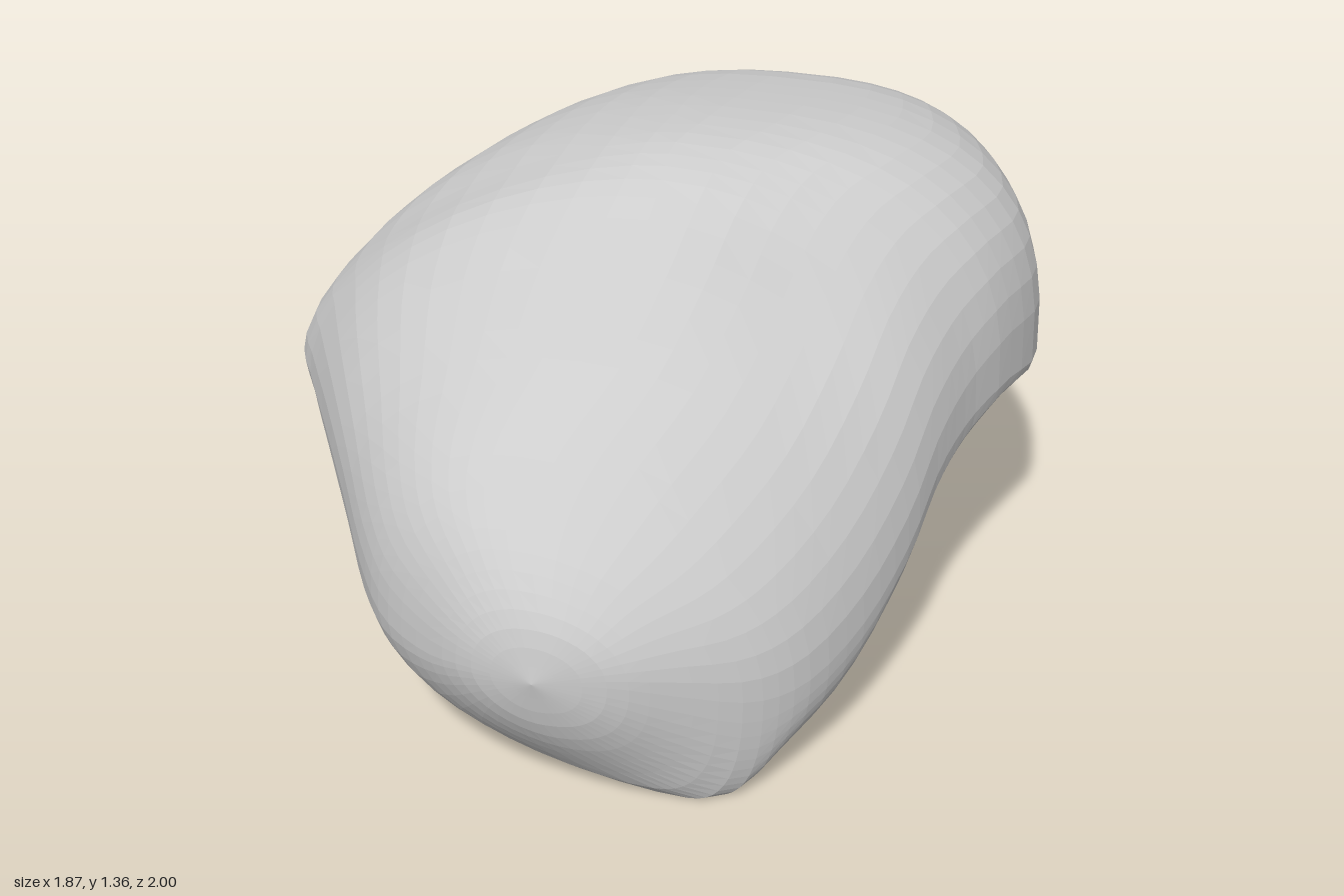
import * as THREE from 'three';

// Cross-sections from back to front: z, then the extreme points of each loop:
// [z, left x, left y, right x, right y, top y, top x, bottom y, bottom x]
const SECTIONS = [
  [-0.965, -0.03, 0.91, 0.38, 0.93, 1.02, 0.2, 0.77, 0.17],
  [-0.9, -0.16, 0.88, 0.51, 0.9, 1.095, 0.2, 0.62, 0.17],
  [-0.75, -0.31, 0.87, 0.68, 0.88, 1.22, 0.2, 0.565, 0.2],
  [-0.55, -0.47, 0.85, 0.83, 0.82, 1.32, 0.2, 0.55, 0.15],
  [-0.32, -0.64, 0.82, 0.935, 0.71, 1.355, 0.15, 0.54, 0.1],
  [-0.1, -0.86, 0.75, 0.88, 0.73, 1.365, 0.1, 0.51, 0.1],
  [0.06, -0.94, 0.69, 0.81, 0.7, 1.35, 0.05, 0.45, 0.1],
  [0.2, -0.87, 0.66, 0.76, 0.64, 1.3, 0.05, 0.38, 0.15],
  [0.35, -0.78, 0.62, 0.715, 0.51, 1.17, 0.02, 0.28, 0.3],
  [0.53, -0.67, 0.55, 0.635, 0.38, 1.0, -0.05, 0.17, 0.45],
  [0.7, -0.565, 0.46, 0.53, 0.31, 0.87, -0.14, 0.08, 0.38],
  [0.8, -0.48, 0.4, 0.43, 0.31, 0.78, -0.16, 0.005, 0.31],
  [0.9, -0.34, 0.39, 0.27, 0.37, 0.675, -0.12, 0.14, 0.08],
  [0.97, -0.21, 0.42, 0.13, 0.42, 0.56, -0.06, 0.28, -0.03],
];
const BACK = new THREE.Vector3(0.24, 0.94, -1);
const FRONT = new THREE.Vector3(-0.05, 0.42, 1);
const AROUND = 48, ALONG = 48;
const { smoothstep } = THREE.MathUtils;

// Fullness of each quarter of a loop: 2 is elliptical, more is boxier
function fullness(z, right, up) {
  const sideLobe = Math.exp(-(((z - 0.04) / 0.25) ** 2));
  const frontness = smoothstep(z, -0.3, 0.35);
  if (right) return up ? 2.75 - 0.75 * frontness : 2 + 0.5 * frontness;
  return up ? 2.2 - 0.65 * sideLobe : 2.6 - 0.35 * sideLobe - 0.8 * smoothstep(z, 0.66, 0.84);
}

// Point on a lopsided rounded loop
function loopPoint([z, lx, ly, rx, ry, ty, tx, by, bx], angle) {
  const c = Math.cos(angle), s = Math.sin(angle);
  const right = c >= 0, up = s >= 0;
  const n = fullness(z, right, up);
  const u = Math.abs(c) ** (2 / n), v = Math.abs(s) ** (2 / n);
  const cx = up ? tx : bx, ey = right ? ry : ly;
  return new THREE.Vector3(cx + ((right ? rx : lx) - cx) * u, ey + ((up ? ty : by) - ey) * v, z);
}

function bodyGeometry() {
  const positions = [], index = [];
  const dent = new THREE.Vector3(0.38, 1.08, 0.25);
  const inward = new THREE.Vector3(-0.25, -0.7, -0.65);
  for (let j = 0; j < AROUND; j++) {
    // Smooth rib running from the back pole to the front pole
    const angle = (j / AROUND) * Math.PI * 2;
    const rib = new THREE.CatmullRomCurve3([BACK, ...SECTIONS.map((s) => loopPoint(s, angle)), FRONT]);
    for (let i = 0; i <= ALONG; i++) {
      const p = rib.getPoint(i / ALONG);
      // Shallow dip on the front shoulder
      p.addScaledVector(inward, 0.04 * Math.exp(-p.distanceToSquared(dent) / 0.05));
      positions.push(p.x, p.y, p.z);
    }
  }
  const row = ALONG + 1;
  for (let j = 0; j < AROUND; j++) {
    for (let i = 0; i < ALONG; i++) {
      const a = j * row + i, b = ((j + 1) % AROUND) * row + i;
      if (i > 0) index.push(a, b, a + 1);
      if (i < ALONG - 1) index.push(b, b + 1, a + 1);
    }
  }
  const geometry = new THREE.BufferGeometry();
  geometry.setAttribute('position', new THREE.Float32BufferAttribute(positions, 3));
  geometry.setIndex(index);
  geometry.computeVertexNormals();
  return geometry;
}

export function createModel() {
  const stone = new THREE.MeshStandardMaterial({ color: 0xcccccc });
  stone.name = 'stone grey';
  stone.flatShading = true;
  const body = new THREE.Mesh(bodyGeometry(), stone);
  body.name = 'boulder';
  const group = new THREE.Group();
  group.name = 'rock';
  group.add(body);
  return group;
}
